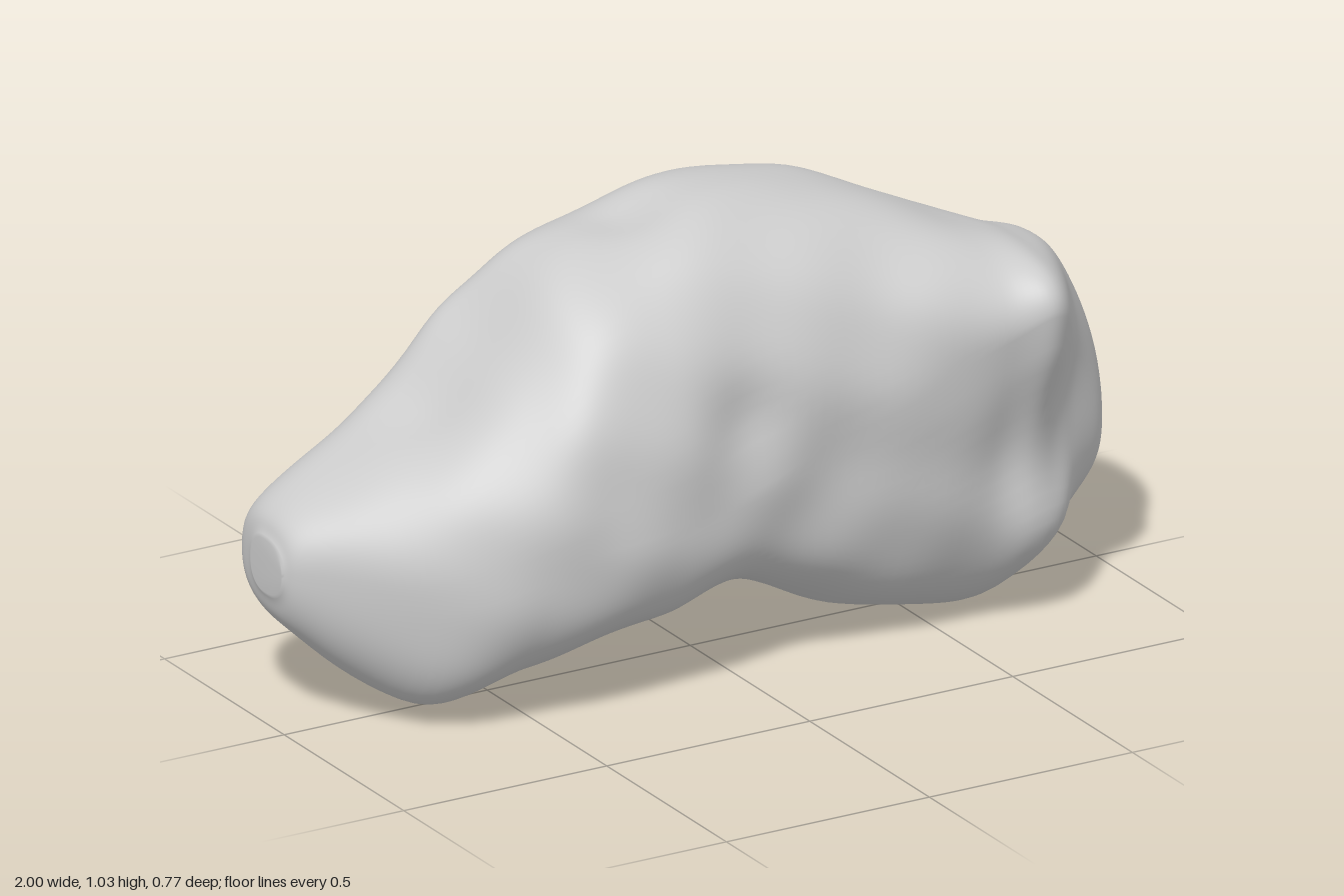
import * as THREE from 'three';

// Cross-sections along the body:
// x, top y, top z, front z, front y, bottom y, bottom z, back z, back y
const SECTIONS = [
  [-1.0, 0.42, -0.09, -0.01, 0.36, 0.30, -0.08, -0.14, 0.36],
  [-0.95, 0.49, -0.10, 0.05, 0.36, 0.21, -0.06, -0.24, 0.36],
  [-0.73, 0.62, -0.11, 0.24, 0.34, 0.04, 0.02, -0.28, 0.41],
  [-0.52, 0.79, -0.14, 0.325, 0.40, 0.095, 0.06, -0.26, 0.56],
  [-0.37, 0.935, -0.10, 0.345, 0.42, 0.14, 0.09, -0.25, 0.70],
  [-0.20, 0.99, -0.07, 0.345, 0.44, 0.165, 0.11, -0.28, 0.77],
  [0.0, 1.033, -0.06, 0.32, 0.48, 0.205, 0.09, -0.32, 0.72],
  [0.30, 1.0, -0.06, 0.335, 0.58, 0.055, -0.02, -0.385, 0.53],
  [0.57, 0.895, 0.09, 0.37, 0.70, 0.0, -0.02, -0.345, 0.48],
  [0.70, 0.855, 0.17, 0.385, 0.74, 0.03, -0.02, -0.29, 0.45],
  [0.83, 0.78, 0.06, 0.22, 0.56, 0.11, -0.01, -0.20, 0.43],
  [0.94, 0.58, 0.01, 0.12, 0.40, 0.205, 0.0, -0.10, 0.38],
  [1.0, 0.35, 0.0, 0.02, 0.32, 0.28, 0.0, -0.02, 0.32],
];

// Hollows and swellings: centre x y z, radius, push along y and z
const DENTS = [
  [-0.12, 0.45, -0.24, 0.19, 0, 0.16],
  [-0.04, 0.24, -0.10, 0.14, 0, 0.05],
  [-0.42, 0.60, -0.25, 0.13, 0, 0.04],
  [0.35, 0.24, -0.32, 0.17, 0, 0.06],
  [0.67, 0.45, 0.32, 0.18, 0, -0.08],
  [0.76, 0.25, 0.22, 0.11, 0, 0.04],
  [0.20, 0.44, 0.32, 0.13, 0, -0.03],
  [-0.02, 0.62, 0.33, 0.09, 0, -0.02],
  [-0.63, 0.69, -0.03, 0.12, -0.04, 0],
  [-0.52, 0.76, -0.22, 0.11, 0.03, 0],
  [-0.12, 0.97, -0.06, 0.09, -0.03, 0],
];

function rail(yIndex, zIndex) {
  const points = SECTIONS.map((s) => new THREE.Vector3(s[0], s[yIndex], s[zIndex]));
  return new THREE.CatmullRomCurve3(points, false, 'catmullrom', 0.5);
}

// Push a surface point by every nearby dent, then add fine unevenness
function weather(p) {
  const { x, y, z } = p;
  for (const [cx, cy, cz, radius, pushY, pushZ] of DENTS) {
    const d = (x - cx) ** 2 + (y - cy) ** 2 + (z - cz) ** 2;
    const weight = Math.exp(-d / radius ** 2);
    p.y += pushY * weight;
    p.z += pushZ * weight;
  }
  const fade = Math.max(0, 1 - x ** 4);
  p.z += 0.005 * fade * Math.sin(17 * x + 9 * y) * Math.cos(19 * y - 6 * x);
  p.y += 0.004 * fade * Math.sin(15 * x + 11 * z) * Math.cos(14 * z);
}

function buildRock(lengthSteps, ringSteps) {
  const top = rail(1, 2), front = rail(4, 3), bottom = rail(5, 6), back = rail(8, 7);
  const fullness = 0.85;
  const positions = [], indices = [];

  // Rings blend the four rails with rounded quarter curves
  for (let i = 0; i <= lengthSteps; i++) {
    const t = i / lengthSteps;
    const T = top.getPoint(t), F = front.getPoint(t), B = bottom.getPoint(t), K = back.getPoint(t);
    for (let j = 0; j < ringSteps; j++) {
      const a = (j / ringSteps) * Math.PI * 2;
      const c = Math.cos(a), s = Math.sin(a);
      const side = c >= 0 ? F : K, cap = s >= 0 ? T : B;
      const cw = Math.abs(c) ** fullness, sw = Math.abs(s) ** fullness;
      const p = new THREE.Vector3(
        T.x,
        side.y + (cap.y - side.y) * sw,
        cap.z + (side.z - cap.z) * cw
      );
      weather(p);
      positions.push(p.x, p.y, p.z);
    }
  }
  for (let i = 0; i < lengthSteps; i++) {
    for (let j = 0; j < ringSteps; j++) {
      const k = (j + 1) % ringSteps;
      const a = i * ringSteps + j, b = a + ringSteps;
      const d = i * ringSteps + k, c = d + ringSteps;
      indices.push(a, b, c, a, c, d);
    }
  }
  // Close both tips
  const last = lengthSteps * ringSteps;
  for (let j = 1; j < ringSteps - 1; j++) {
    indices.push(0, j, j + 1, last, last + j + 1, last + j);
  }

  const geometry = new THREE.BufferGeometry();
  geometry.setAttribute('position', new THREE.Float32BufferAttribute(positions, 3));
  geometry.setIndex(indices);
  geometry.computeVertexNormals();
  return geometry;
}

export function createModel() {
  const group = new THREE.Group();
  group.name = 'asteroid';
  const rock = new THREE.Mesh(
    buildRock(120, 96),
    new THREE.MeshStandardMaterial({ color: 0xcccccc })
  );
  rock.name = 'rockBody';
  group.add(rock);
  return group;
}
